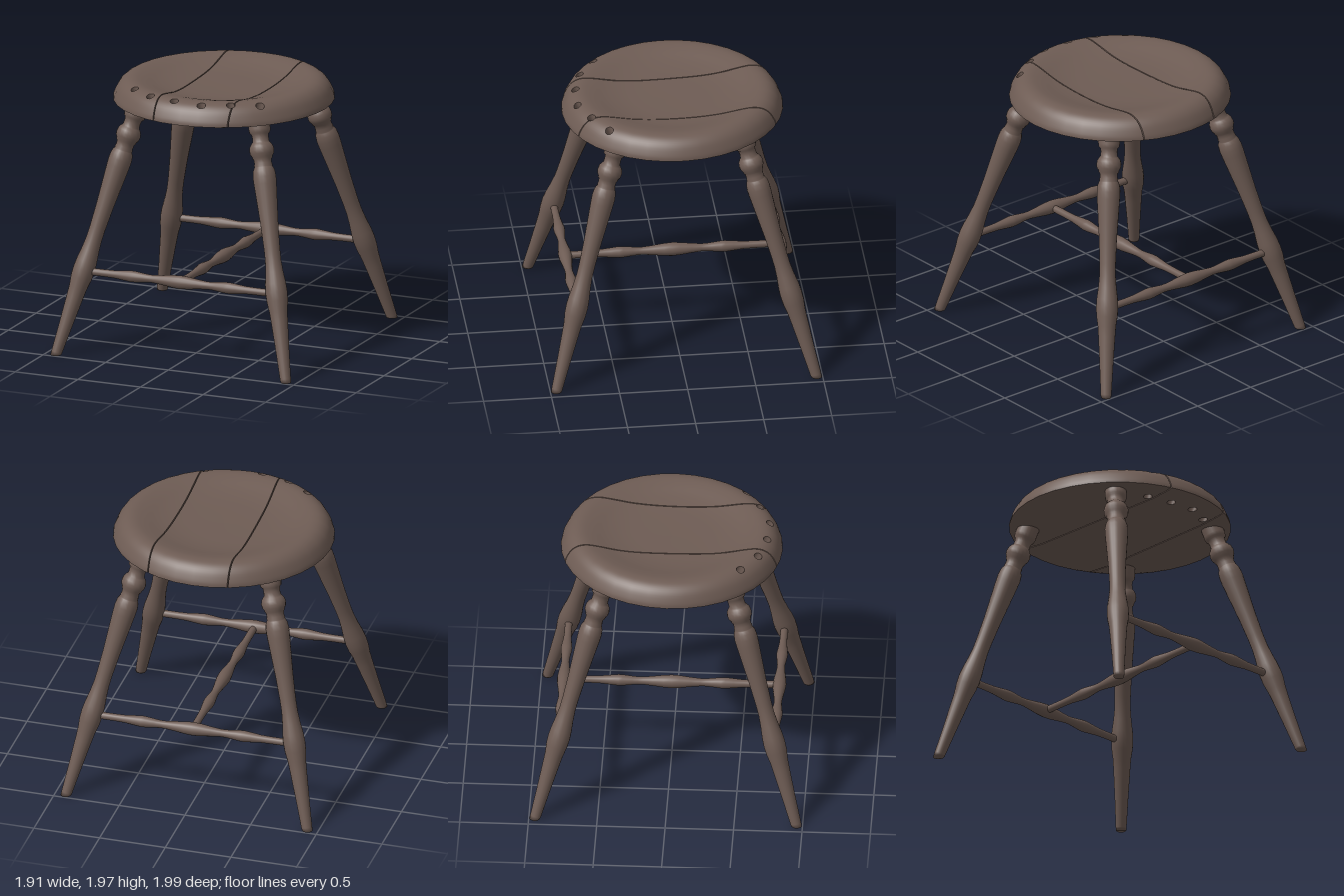
import * as THREE from 'three';

const wood = new THREE.MeshStandardMaterial({ color: 0x6e5c54 });
wood.name = 'brown wood';

const SEAT_Y = 1.88; // seat geometry is modelled around this height
const v2 = (pts) => pts.map(([x, y]) => new THREE.Vector2(x, y));
const smooth = (pts, n) => new THREE.SplineCurve(v2(pts)).getPoints(n);

// Seat profiles: rounded rim and dished top, chamfered underside
const topProfile = smooth([[0.81, -0.066], [0.802, -0.03], [0.768, 0.035], [0.72, 0.075], [0.66, 0.088],
  [0.58, 0.076], [0.46, 0.048], [0.3, 0.03], [0, 0.025]], 32);
const underProfile = v2([[0, -0.09], [0.6, -0.09], [0.64, -0.088], [0.78, -0.075], [0.81, -0.066]]);

// Height of a profile at radius r
function heightAt(profile, r) {
  for (let i = 1; i < profile.length; i++) {
    const a = profile[i - 1], b = profile[i];
    if ((r - a.x) * (r - b.x) <= 0 && a.x !== b.x) return a.y + (b.y - a.y) * (r - a.x) / (b.x - a.x);
  }
  return -0.066;
}

// Keep the part of a polygon where dist >= 0; report the cut edge if asked
function clip(poly, dist, cuts) {
  const out = [], cut = [];
  poly.forEach((a, i) => {
    const b = poly[(i + 1) % poly.length], da = dist(a), db = dist(b);
    if (da >= 0) out.push(a);
    if (da >= 0 !== db >= 0) {
      const p = a.map((v, k) => v + (b[k] - v) * da / (da - db));
      out.push(p);
      cut[da >= 0 ? 0 : 1] = p;
    }
  });
  if (cuts && cut[0] && cut[1]) cuts.push(cut);
  return out;
}

// Slanted holes along one edge of the seat
const HOLE_SIDES = 12, HOLE_R = 0.033;
const holes = [[-0.48, 0.525], [-0.3, 0.645], [-0.085, 0.7], [0.135, 0.71], [0.335, 0.63], [0.52, 0.52]].map(([x, z]) => {
  const r = Math.hypot(x, z), kx = 0.45 * x / r, kz = 0.45 * z / r;
  const y0 = heightAt(topProfile, r);
  const planes = [];
  for (let i = 0; i < HOLE_SIDES; i++) {
    const t = (i + 0.5) / HOLE_SIDES * Math.PI * 2, c = Math.cos(t), s = Math.sin(t);
    const apothem = HOLE_R * Math.cos(Math.PI / HOLE_SIDES);
    planes.push((p) => (p[0] - x - kx * (p[1] - y0)) * c + (p[2] - z - kz * (p[1] - y0)) * s - apothem);
  }
  return { x, z, kx, kz, y0, planes };
});

function cutHole(polys, planes) {
  const kept = [];
  for (const poly of polys) {
    if (planes.some((d) => poly.every((p) => d(p) >= 0))) { kept.push(poly); continue; }
    let rest = poly;
    for (const d of planes) {
      const outside = clip(rest, d);
      if (outside.length > 2) kept.push(outside);
      rest = clip(rest, (p) => -d(p));
      if (rest.length < 3) break;
    }
  }
  return kept;
}

// Inner wall of a hole, from the underside to the top surface
function holeWall({ x, z, kx, kz, y0 }) {
  const rims = [underProfile, topProfile].map((profile) => {
    const ring = [];
    for (let i = 0; i < HOLE_SIDES; i++) {
      const t = i / HOLE_SIDES * Math.PI * 2, c = Math.cos(t), s = Math.sin(t);
      let y = profile === topProfile ? y0 : -0.09, px, pz;
      for (let k = 0; k < 12; k++) {
        px = x + HOLE_R * c + kx * (y - y0);
        pz = z + HOLE_R * s + kz * (y - y0);
        y = (y + heightAt(profile, Math.hypot(px, pz))) / 2;
      }
      ring.push([px, y, pz, -c, 0, -s]);
    }
    return ring;
  });
  return rims[0].map((a, i) => {
    const j = (i + 1) % HOLE_SIDES;
    return [a, rims[0][j], rims[1][j], rims[1][i]];
  });
}

function latheTriangles(profile) {
  const g = new THREE.LatheGeometry(profile, 36).toNonIndexed();
  const p = g.attributes.position, n = g.attributes.normal, tris = [];
  for (let i = 0; i < p.count; i += 3) {
    tris.push([0, 1, 2].map((k) => [p.getX(i + k), p.getY(i + k), p.getZ(i + k),
      n.getX(i + k), n.getY(i + k), n.getZ(i + k)]));
  }
  return tris;
}

// One plank: the seat disc cut by the half-spaces on each side
function plankGeometry(polys, limits) {
  for (const { dist, normal, x } of limits) {
    const cuts = [];
    polys = polys.map((p) => clip(p, dist, cuts)).filter((p) => p.length > 2);
    const mid = [x, -0.03, 0, ...normal];
    for (const [a, b] of cuts) polys.push([[...b.slice(0, 3), ...normal], [...a.slice(0, 3), ...normal], mid]);
  }
  const pos = [], nor = [];
  for (const poly of polys) {
    for (let i = 1; i < poly.length - 1; i++) {
      for (const v of [poly[0], poly[i], poly[i + 1]]) {
        pos.push(...v.slice(0, 3));
        nor.push(...v.slice(3));
      }
    }
  }
  const g = new THREE.BufferGeometry();
  g.setAttribute('position', new THREE.Float32BufferAttribute(pos, 3));
  g.setAttribute('normal', new THREE.Float32BufferAttribute(nor, 3));
  return g;
}

function makeSeat() {
  const seat = new THREE.Group();
  seat.name = 'seat';
  let polys = [...latheTriangles(topProfile), ...latheTriangles(underProfile)];
  for (const h of holes) polys = cutHole(polys, h.planes);
  for (const h of holes) polys.push(...holeWall(h));
  // Joint lines between planks: x = x0 + slope * z, with a narrow gap
  const side = (x0, slope, sign) => ({
    x: x0 + sign * 0.004,
    dist: (p) => sign * (p[0] - x0 - slope * p[2]) - 0.004,
    normal: [-sign, 0, sign * slope],
  });
  const left = [0.358, -0.009], right = [-0.238, 0.023];
  const planks = {
    rightPlank: [side(...right, -1)],
    middlePlank: [side(...right, 1), side(...left, -1)],
    leftPlank: [side(...left, 1)],
  };
  for (const [name, limits] of Object.entries(planks)) {
    const mesh = new THREE.Mesh(plankGeometry(polys, limits), wood);
    mesh.name = name;
    seat.add(mesh);
  }
  seat.position.y = SEAT_Y;
  seat.rotation.x = 0.01;
  return seat;
}

// Turned leg, splayed outward, with its foot cut level with the floor
function makeLeg(sx, sz) {
  const foot = new THREE.Vector3(0.918 * sx, 0, 0.955 * sz);
  const dir = new THREE.Vector3(0.48 * sx, 1.82, 0.46 * sz).sub(foot);
  const stretch = dir.length() / dir.y;
  dir.normalize();
  const profile = [[0, 0], [0.038, 0], [0.04, 0.02], [0.05, 0.22], [0.062, 0.42], [0.067, 0.49], [0.078, 0.56], [0.081, 0.62],
    [0.077, 0.68], [0.066, 0.76], [0.059, 0.84], [0.059, 0.92], [0.065, 1.08], [0.076, 1.25], [0.084, 1.37], [0.086, 1.42],
    [0.081, 1.46], [0.07, 1.485], [0.066, 1.49], [0.068, 1.5], [0.064, 1.515], [0.066, 1.54], [0.074, 1.55], [0.075, 1.56],
    [0.088, 1.58], [0.091, 1.605], [0.086, 1.63], [0.073, 1.65], [0.063, 1.66], [0.06, 1.69], [0.064, 1.715],
    [0.076, 1.725], [0.08, 1.75], [0.08, 1.83]].map(([r, y]) => [r, y * stretch]);
  const g = new THREE.LatheGeometry(v2(profile), 20);
  g.applyQuaternion(new THREE.Quaternion().setFromUnitVectors(new THREE.Vector3(0, 1, 0), dir));
  const p = g.attributes.position, v = new THREE.Vector3();
  for (let i = 0; i < p.count; i++) {
    v.fromBufferAttribute(p, i);
    if (i % profile.length < 2) v.addScaledVector(dir, -v.y / dir.y);
    p.setXYZ(i, v.x, v.y, v.z);
  }
  const leg = new THREE.Mesh(g, wood);
  leg.position.copy(foot);
  leg.name = (sz > 0 ? 'front' : 'back') + (sx > 0 ? 'Left' : 'Right') + 'Leg';
  return leg;
}

// Turned stretcher with a central swell and two smaller ones
function makeStretcher(name, axis, z) {
  const half = [[0.05, 0], [0.046, 0.06], [0.036, 0.14], [0.029, 0.21], [0.029, 0.25], [0.033, 0.29], [0.041, 0.36],
    [0.042, 0.39], [0.036, 0.45], [0.029, 0.52], [0.027, 0.6], [0.027, 0.77]];
  const profile = [...half.slice(1).reverse().map(([r, y]) => [r, -y]), ...half];
  const mesh = new THREE.Mesh(new THREE.LatheGeometry(v2(profile), 16), wood);
  mesh.name = name;
  mesh.position.set(0, 0.61, z);
  if (axis === 'x') mesh.rotation.z = Math.PI / 2;
  else mesh.rotation.x = Math.PI / 2;
  return mesh;
}

export function createModel() {
  const stool = new THREE.Group();
  stool.name = 'stool';
  stool.add(makeSeat());
  for (const sx of [-1, 1]) for (const sz of [-1, 1]) stool.add(makeLeg(sx, sz));
  stool.add(makeStretcher('frontStretcher', 'x', 0.785), makeStretcher('backStretcher', 'x', -0.79),
    makeStretcher('middleStretcher', 'z', 0));
  return stool;
}
